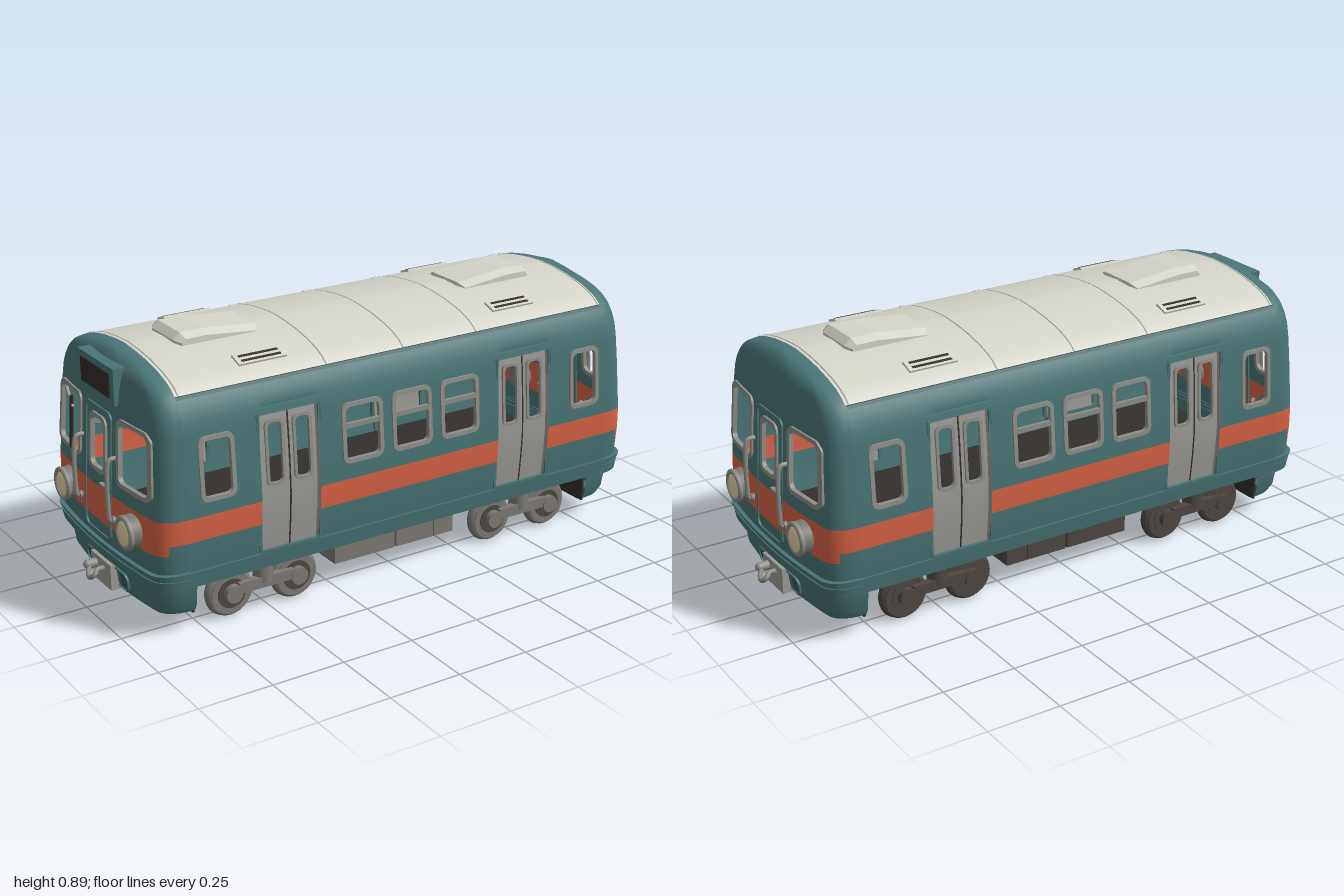
import * as THREE from 'three';
import { toCreasedNormals } from 'three/addons/utils/BufferGeometryUtils.js';

const mat = (name, color) => Object.assign(new THREE.MeshStandardMaterial({ color, side: THREE.DoubleSide }), { name });
const teal = mat('teal paint', 0x497575), shade = mat('dark teal', 0x345656), orange = mat('orange stripe', 0xd86245);
const cream = mat('cream roof', 0xd5d4c9), grey = mat('door grey', 0x9b9a95), frameGrey = mat('frame grey', 0x8e8f89);
const iron = mat('bogie iron', 0x7d7a75), steel = mat('wheel dark', 0x4d4742), dark = mat('near black', 0x322f2c);
const glass = mat('lamp lens', 0xe6d7a2);

// Cross-section of the body: height, half width, half length
const BODY = [[.18, .365, .93], [.24, .374, .94], [.335, .383, .942], [.415, .387, .937], [.5, .383, .93], [.6, .376, .924],
  [.68, .368, .919], [.72, .361, .916], [.75, .35, .913], [.775, .335, .909], [.79, .323, .906], [.81, .297, .902], [.825, .265, .897],
  [.84, .217, .889], [.855, .143, .878], [.864, .07, .867], [.868, 0, .858]];
const SKIRT = [[.065, .305, .885], [.075, .328, .905], [.1, .341, .917], [.185, .35, .928]];
const CORNER = .82, ZREF = .377;

function profile(table, y) {
  let i = 1;
  while (i < table.length - 1 && y > table[i][0]) i++;
  const a = table[i - 1], b = table[i], t = THREE.MathUtils.clamp((y - a[0]) / (b[0] - a[0]), 0, 1);
  return [a[1] + (b[1] - a[1]) * t, a[2] + (b[2] - a[2]) * t];
}
const sidePoint = (x, y, off = 0) => [x, y, profile(BODY, y)[0] + off];

// Point on the bowed, round-cornered end; f runs -1..1 across the width
function endPoint(f, y, off = 0, table = BODY, x0 = .82) {
  let [w, e] = profile(table, y);
  w += off; e += off;
  const a = Math.abs(f), xe = c => e - .03 * c * c;
  let x = xe(a), z = a * w;
  if (a > CORNER) {
    const t = (a - CORNER) / (1 - CORNER), p = (1 - t) ** 2, q = 2 * t * (1 - t), r = t * t;
    x = p * xe(CORNER) + q * xe(1) + r * x0;
    z = p * CORNER * w + (q + r) * w;
  }
  return [x, y, -Math.sign(f) * z];
}

// Surface over a grid of lines; pick() gives a material index per cell, or -1 for an opening
function grid(us, vs, point, pick = () => 0) {
  const pos = [], cells = [], n = us.length;
  for (const v of vs) for (const u of us) pos.push(...point(u, v));
  for (let j = 0; j < vs.length - 1; j++) for (let i = 0; i < n - 1; i++) {
    const m = pick((us[i] + us[i + 1]) / 2, (vs[j] + vs[j + 1]) / 2), a = j * n + i;
    if (m >= 0) (cells[m] ??= []).push(a, a + 1, a + n + 1, a, a + n + 1, a + n);
  }
  const g = new THREE.BufferGeometry(), index = [];
  cells.forEach((c, m) => { g.addGroup(index.length, c.length, m); index.push(...c); });
  g.setAttribute('position', new THREE.Float32BufferAttribute(pos, 3));
  g.setIndex(index);
  return toCreasedNormals(g, .6);
}
const lines = arr => [...new Set(arr.map(v => +v.toFixed(4)))].sort((a, b) => a - b);
const span = (a, b, n) => Array.from({ length: n + 1 }, (_, i) => a + (b - a) * i / n);

function add(parent, name, geo, material, x = 0, y = 0, z = 0) {
  const m = new THREE.Mesh(geo, material);
  m.name = name;
  m.position.set(x, y, z);
  parent.add(m);
  return m;
}
const box = (w, h, d) => new THREE.BoxGeometry(w, h, d);
const cyl = (r, h, axis, r2 = r) => {
  const g = new THREE.CylinderGeometry(r, r2, h, 28);
  return axis === 'x' ? g.rotateZ(-Math.PI / 2) : axis === 'z' ? g.rotateX(Math.PI / 2) : g;
};

function roundRect(path, cx, cy, hw, hh, r) {
  path.moveTo(cx + hw, cy - hh + r);
  [[1, 1, 0], [-1, 1, 1], [-1, -1, 2], [1, -1, 3]].forEach(([sx, sy, k]) =>
    path.absarc(cx + sx * (hw - r), cy + sy * (hh - r), r, k * Math.PI / 2, (k + 1) * Math.PI / 2, false));
  return path;
}
// Rounded frame (or solid plate when t = 0) laid on a curved wall
function frame(wrap, cx, cy, hw, hh, t, r, d0 = -.008, d1 = .007) {
  const s = roundRect(new THREE.Shape(), cx, cy, hw, hh, r);
  if (t) s.holes.push(roundRect(new THREE.Path(), cx, cy, hw - t, hh - t, Math.max(r - t * .6, .005)));
  const g = new THREE.ExtrudeGeometry(s, { depth: d1 - d0, bevelEnabled: false, curveSegments: 6 });
  const p = g.attributes.position;
  for (let i = 0; i < p.count; i++) p.setXYZ(i, ...wrap(p.getX(i), p.getY(i), p.getZ(i) + d0));
  g.computeVertexNormals();
  return g;
}
const onSide = (x, y, d) => sidePoint(x, y, d);
const onEnd = (a, y, d) => { const p = endPoint(a / ZREF, y); return [p[0] + d, p[1], p[2]]; };
const onSkirt = (a, y, d) => { const p = endPoint(a / .345, y, 0, SKIRT); return [p[0] + d, p[1], p[2]]; };
const inside = (h, u, v) => Math.abs(u - h[0]) < h[2] && Math.abs(v - h[1]) < h[3];
// Raised moulding: four rows running out, along and back in
const moulding = (us, y0, y1, off, point) => grid(us, [0, 1, 2, 3], (u, k) => point(u, k < 2 ? y0 : y1, k % 3 ? off : -.004));

function makeSide() {
  const g = new THREE.Group();
  g.name = 'side';
  const doors = [-.457, .457];
  const windows = [[-.715, .564, .062, .104], [.715, .564, .062, .104], ...[-.19, 0, .19].map(x => [x, .569, .077, .1])];
  const doorWindows = doors.flatMap(x => [-.05, .05].map(d => [x + d, .562, .034, .108]));
  const holes = [...windows.map(([x, y, w, h]) => [x, y, w - .008, h - .008]), ...doorWindows.map(([x, y, w, h]) => [x, y, w - .005, h - .005])];
  const xs = lines([-.82, .82, ...doors.flatMap(x => [-.107, -.1, .1, .107].map(d => x + d)), ...holes.flatMap(h => [h[0] - h[2], h[0] + h[2]])]);
  const ys = lines([...BODY.map(r => r[0]), .235, .695, ...holes.flatMap(h => [h[1] - h[3], h[1] + h[3]])]);
  const inDoor = (x, y, w) => Math.abs(Math.abs(x) - .457) < w && y > .234 && y < .696;
  // Wall with stripe, recessed doors and roof half
  add(g, 'sideWall', grid(xs, ys, (x, y) => sidePoint(x, y, inDoor(x, y, .104) ? -.01 : 0), (x, y) =>
    holes.some(h => inside(h, x, y)) ? -1 : inDoor(x, y, .107) ? 2 : y > .79 ? 3 : y > .335 && y < .415 ? 1 : 0), [teal, orange, grey, cream]);
  for (const [x, y, w, h] of windows) add(g, 'windowFrame', frame(onSide, x, y, w, h, .014, .026), frameGrey);
  for (const [x, y, w, h] of doorWindows) add(g, 'doorWindowFrame', frame(onSide, x, y, w, h, .01, .022, -.014, -.003), frameGrey);
  for (const x of [-.19, 0, .19]) add(g, 'windowBar', box(.14, .016, .012), frameGrey, x, .594, sidePoint(0, .594)[2]);
  for (const x of doors) {
    add(g, 'doorSurround', frame(onSide, x, .465, .114, .236, .009, .014, -.008, .005), teal);
    add(g, 'doorSeam', grid([x - .003, x + .003], ys.filter(y => y > .234 && y < .7), (u, y) => sidePoint(u, y, -.007)), dark);
    add(g, 'doorRail', moulding([x - .125, x + .125], .7, .715, .01, sidePoint), teal);
  }
  add(g, 'windowRail', moulding([-.3, .3], .7, .712, .007, sidePoint), teal);
  add(g, 'gutter', moulding([-.82, .82], .783, .791, .006, sidePoint), shade);
  add(g, 'sill', moulding([-.82, .82], .178, .232, .007, sidePoint), teal);
  // Roof seams and slotted vents
  for (const x of [-.81, -.29, 0, .29, .81])
    add(g, 'roofSeam', grid([x - .0025, x + .0025], BODY.map(r => r[0]).filter(y => y > .78), (u, y) => {
      const p = sidePoint(u, y, .001);
      return [p[0], p[1] + .0025, p[2]];
    }), frameGrey);
  for (const x of [-.485, .485]) {
    const v = new THREE.Group();
    v.name = 'roofVent';
    v.position.set(x, .83, .245);
    v.rotation.x = .36;
    add(v, 'ventBase', box(.17, .018, .05), cream);
    for (const z of [-.011, .011]) add(v, 'ventSlot', box(.14, .005, .009), dark, 0, .008, z);
    g.add(v);
  }
  return g;
}

function makeEnd() {
  const g = new THREE.Group();
  g.name = 'end';
  const windows = [[-.222, .574, .095, .11], [.222, .574, .095, .11], [0, .56, .059, .095]];
  const holes = windows.map(([a, y, w, h]) => [a / ZREF, y, (w - .008) / ZREF, h - .008]);
  const corner = span(CORNER, 1, 7);
  const fs = lines([...span(-.8, .8, 16), ...corner, ...corner.map(f => -f), ...holes.flatMap(h => [h[0] - h[2], h[0] + h[2]])]);
  const ys = lines([...BODY.map(r => r[0]), .3, ...holes.flatMap(h => [h[1] - h[3], h[1] + h[3]])]);
  add(g, 'endWall', grid(fs, ys, (f, y) => endPoint(f, y), (f, y) => holes.some(h => inside(h, f, y)) ? -1
    : y < .415 && y > (Math.abs(f) > .92 ? .335 : .3) ? 1 : 0), [teal, orange]);
  for (const [a, y, w, h] of windows) add(g, 'endWindowFrame', frame(onEnd, a, y, w, h, .014, .03), frameGrey);
  // Gangway door outline, in stripe colour where the stripe crosses it
  add(g, 'endDoorOutline', frame(onEnd, 0, .468, .092, .214, .007, .025, -.004, .006), teal);
  for (const s of [-1, 1]) add(g, 'endDoorStripe', grid([s * .088 - .0045, s * .088 + .0045], [.3, .335, .415], (a, y) => onEnd(a, y, .0075)), orange);
  add(g, 'doorHandle', box(.014, .01, .045), frameGrey, .942, .435, -.055);
  // Bumper bands
  for (const [y0, y1, off] of [[.178, .212, .012], [.212, .226, .008], [.226, .236, .013]])
    add(g, 'bumper', moulding(fs, y0, y1, off, endPoint), teal);
  // Lower skirt with closed underside
  const skirtPoint = (f, y) => {
    const p = endPoint(f, Math.max(y, .065), 0, SKIRT, .78);
    return y < .065 ? [.78, .065, p[2]] : p;
  };
  add(g, 'skirt', grid(fs, [0, ...SKIRT.map(r => r[0])], skirtPoint, (f, y) => y < .065 ? 1 : 0), [teal, dark]);
  add(g, 'skirtBack', box(.008, .115, .65), dark, .784, .124, 0);
  add(g, 'couplerRecess', frame(onSkirt, 0, .122, .145, .031, 0, .025, 0, .003), shade);
  add(g, 'recessRim', frame(onSkirt, 0, .122, .15, .036, .007, .028, 0, .007), teal);
  // Coupler
  add(g, 'couplerPlate', box(.035, .088, .142), grey, .925, .12, 0);
  for (const [y, r, x] of [[.135, .015, .972], [.1, .014, .966]]) {
    add(g, 'couplerPin', cyl(r, .05, 'x'), frameGrey, x - .02, y, .035);
    add(g, 'couplerKnob', new THREE.SphereGeometry(r, 16, 10), frameGrey, x, y, .035);
  }
  const hook = new THREE.CatmullRomCurve3([[.965, .135, .035], [.985, .118, .005], [.992, .116, -.02], [.985, .13, -.04], [.97, .142, -.03], [.94, .138, -.02]]
    .map(p => new THREE.Vector3(...p)));
  add(g, 'couplerHook', new THREE.TubeGeometry(hook, 24, .008, 8), frameGrey);
  for (const s of [-1, 1]) {
    // Headlamps and grab rails
    add(g, 'lampHousing', cyl(.052, .05, 'x', .058), iron, .936, .345, s * .225);
    add(g, 'lampRim', new THREE.TorusGeometry(.048, .009, 10, 32).rotateY(Math.PI / 2), frameGrey, .959, .345, s * .225);
    add(g, 'lampLens', new THREE.SphereGeometry(.043, 24, 12).scale(.3, 1, 1), glass, .958, .345, s * .225);
    const rail = new THREE.CatmullRomCurve3([[.93, .342], [.956, .345], [.96, .37], [.956, .53], [.948, .547], [.915, .548]]
      .map(([x, y]) => new THREE.Vector3(x, y, s * .119)));
    add(g, 'grabRail', new THREE.TubeGeometry(rail, 30, .008, 8), frameGrey);
    add(g, 'railFoot', cyl(.014, .012, 'x'), iron, .945, .342, s * .119);
  }
  // Roof hatch with chamfered sides
  const hatch = new THREE.Shape([[.405, .84], [.675, .84], [.675, .867], [.662, .88], [.585, .88], [.41, .862]].map(p => new THREE.Vector2(...p)));
  add(g, 'roofHatch', new THREE.ExtrudeGeometry(hatch, { depth: .145, bevelThickness: .03, bevelSize: .015, bevelSegments: 1 }), cream, 0, 0, -.0725);
  return g;
}

function makeBogie(x) {
  const g = new THREE.Group();
  g.name = 'bogie';
  g.position.x = x;
  // The rear running gear is painted darker than the front
  for (const s of [-1, 1]) {
    const paint = s > 0 ? iron : steel;
    for (const dx of [-.12, .12]) {
      add(g, 'wheel', cyl(.072, .046, 'z'), paint, dx, .088, s * .29);
      add(g, 'tyre', new THREE.TorusGeometry(.065, .02, 10, 32), paint, dx, .088, s * .29);
      add(g, 'wheelDish', cyl(.05, .006, 'z'), steel, dx, .088, s * .314);
      add(g, 'axleBox', cyl(.03, .03, 'z'), paint, dx, .092, s * .322);
    }
    add(g, 'sideFrame', box(.2, .036, .026), paint, 0, .105, s * .32);
    add(g, 'spring', cyl(.034, .07, 'y'), paint, 0, .14, s * .305);
  }
  return g;
}

export function createModel() {
  const model = new THREE.Group();
  model.name = 'railcar';
  for (const turn of [0, Math.PI]) for (const make of [makeSide, makeEnd]) {
    const part = make();
    part.rotation.y = turn;
    model.add(part);
  }
  // Floor and underfloor equipment, dark underneath and at the rear
  add(model, 'floor', box(1.64, .016, .72), dark, 0, .186, 0);
  add(model, 'floorEnds', box(1.76, .014, .6), dark, 0, .186, 0);
  for (const [x, w] of [[-.122, .236], [.08, .15], [.198, .078]]) for (const s of [-1, 1]) {
    const paint = s > 0 ? iron : steel;
    add(model, 'equipmentBox', box(w, .106, .29), [paint, paint, paint, dark, paint, paint], x, .127, s * .148);
  }
  for (const x of [-.52, .51]) model.add(makeBogie(x));
  // Destination box and wiper on the rear end
  add(model, 'signBox', box(.08, .12, .25), teal, -.885, .778, 0);
  add(model, 'signPanel', box(.006, .08, .2), dark, -.926, .778, 0);
  const wiper = add(model, 'wiper', box(.008, .19, .012), dark, -.934, .57, -.182);
  wiper.rotation.x = .14;
  const arm = add(model, 'wiperArm', box(.008, .07, .008), frameGrey, -.934, .655, -.185);
  arm.rotation.x = -.6;
  return model;
}
